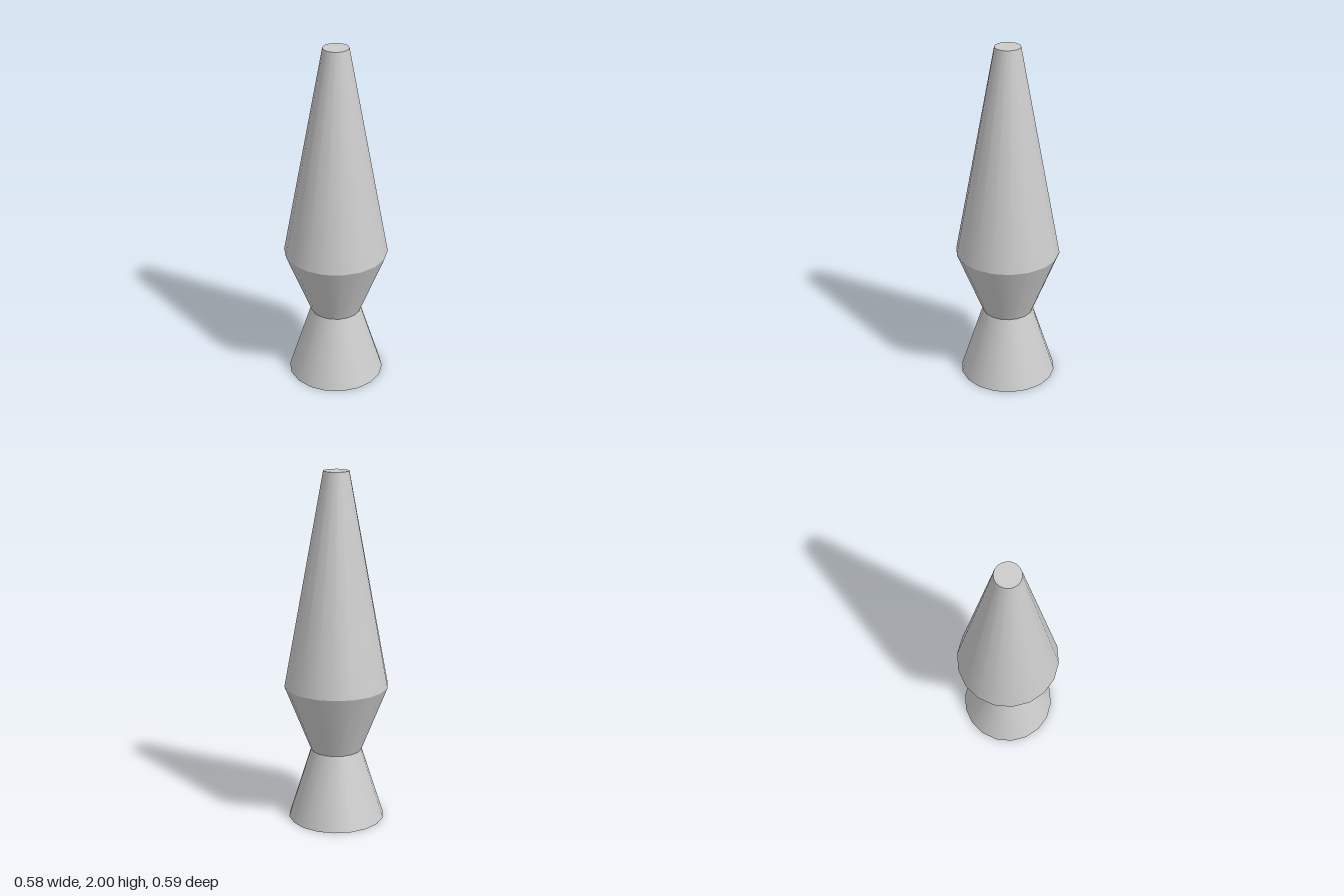
import * as THREE from 'three';

const SIDES = 18;

export function createModel() {
  const model = new THREE.Group();
  const material = new THREE.MeshStandardMaterial({ color: 0xcccccc });

  // A tapered section between two heights; separate meshes keep the joints sharp
  function addSection(name, y0, y1, r0, r1) {
    const geometry = new THREE.CylinderGeometry(r1, r0, y1 - y0, SIDES, 1);
    const mesh = new THREE.Mesh(geometry, material);
    mesh.name = name;
    mesh.position.y = (y0 + y1) / 2;
    model.add(mesh);
  }

  // Flared foot, cup holding the vessel, and the tall tapering vessel
  addSection('foot', 0, 0.41, 0.275, 0.145);
  addSection('cup', 0.41, 0.79, 0.145, 0.295);
  addSection('vessel', 0.79, 2, 0.295, 0.072);

  return model;
}
